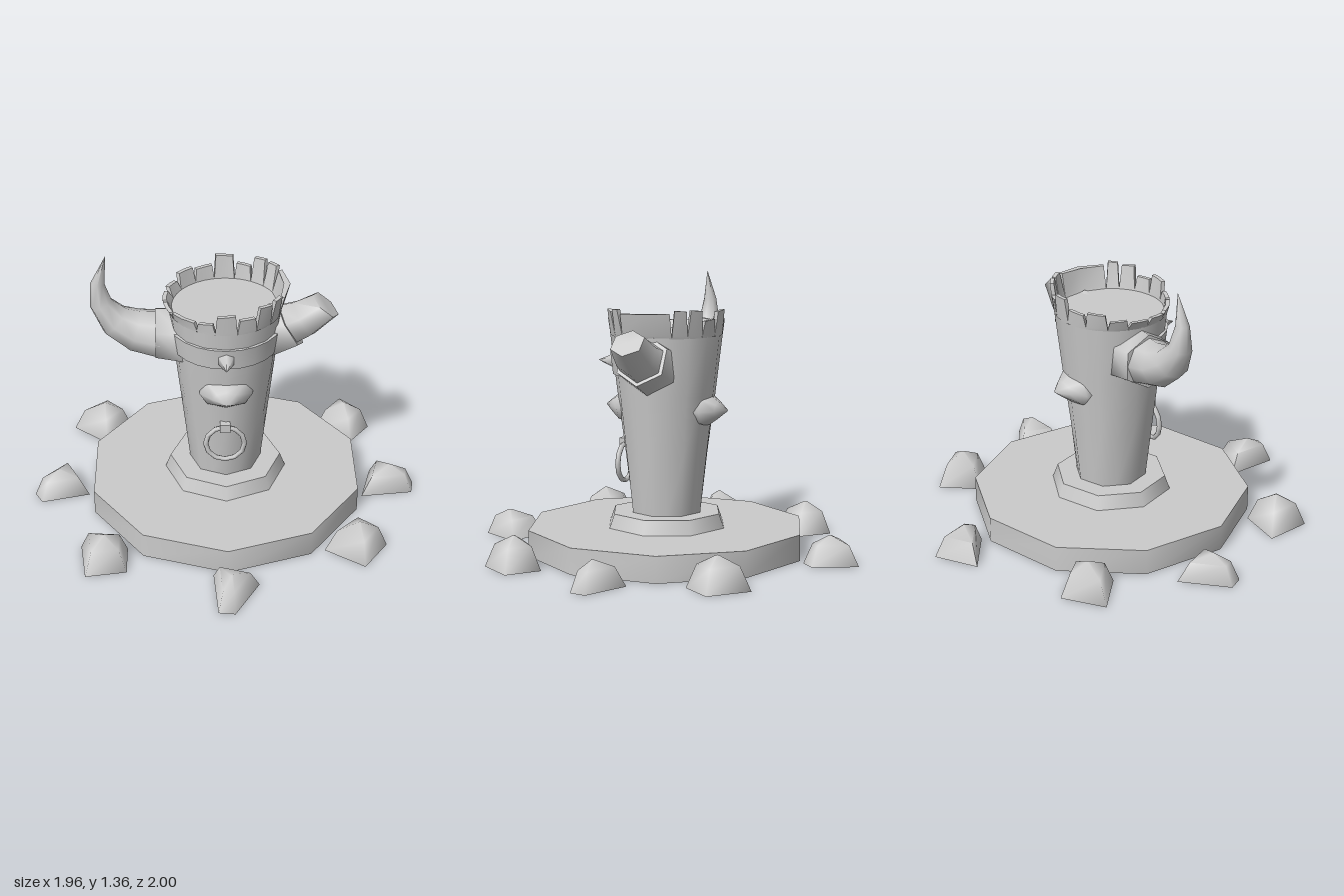
import * as THREE from 'three';
import { toCreasedNormals } from 'three/addons/utils/BufferGeometryUtils.js';

const V = (x, y, z) => new THREE.Vector3(x, y, z);
const rad = THREE.MathUtils.degToRad;
const solid = new THREE.MeshStandardMaterial({ color: 0xcccccc });
const shell = new THREE.MeshStandardMaterial({ color: 0xcccccc, side: THREE.DoubleSide });

// Skin a stack of equal-length rings; the first end may stay open
function loft(rings, crease = 1.1, openStart = false) {
  const n = rings[0].length, pos = [];
  const tri = (...p) => p.forEach((v) => pos.push(v.x, v.y, v.z));
  const first = rings[0], last = rings[rings.length - 1];
  const mid = (r) => r.reduce((s, p) => s.add(p), V(0, 0, 0)).divideScalar(n);
  const c0 = mid(first), c1 = mid(last);
  for (let j = 0; j < n; j++) {
    const k = (j + 1) % n;
    for (let i = 0; i + 1 < rings.length; i++) {
      const a = rings[i], b = rings[i + 1];
      tri(a[j], a[k], b[k]);
      tri(a[j], b[k], b[j]);
    }
    if (!openStart) tri(c0, first[k], first[j]);
    tri(c1, last[j], last[k]);
  }
  const g = new THREE.BufferGeometry();
  g.setAttribute('position', new THREE.Float32BufferAttribute(pos, 3));
  return toCreasedNormals(g, crease);
}

// Tapering tube in the xy plane; stations are [x, y, radius, heading in degrees]
function hornGeometry(stations, sides = 6) {
  return loft(stations.map(([x, y, r, deg]) => {
    const a = rad(deg);
    const nx = -Math.sin(a), ny = Math.cos(a);
    return Array.from({ length: sides }, (_, k) => {
      const f = (k / sides) * Math.PI * 2, c = r * Math.cos(f);
      return V(x + c * nx, y + c * ny, r * Math.sin(f));
    });
  }), 1.2);
}

const polar = (r, a, y) => V(r * Math.sin(a), y, r * Math.cos(a));
const wallRadius = (y) => 0.18 + 0.11 * (y - 0.2);

export function createModel() {
  const model = new THREE.Group();
  const add = (name, geometry, parent = model, material = solid) => {
    const mesh = new THREE.Mesh(geometry, material);
    mesh.name = name;
    parent.add(mesh);
    return mesh;
  };
  const group = (name) => {
    const g = new THREE.Group();
    g.name = name;
    model.add(g);
    return g;
  };

  // Ten-sided base, hollow underneath, and eight-sided plinth
  const baseRing = (y) => Array.from({ length: 10 }, (_, k) => polar(0.7, (k / 10) * Math.PI * 2, y));
  add('base', loft([baseRing(0), baseRing(0.13)], 0.9, true), model, shell);
  add('plinth', new THREE.CylinderGeometry(0.28, 0.308, 0.075, 8)).position.y = 0.1625;

  // Tower wall: octagonal at the foot, rounder toward the top
  const N = 16;
  add('tower', loft([0.19, 0.5, 0.8, 1.09].map((y) => Array.from({ length: N }, (_, k) => {
    const facet = k % 2 ? 1 - 0.076 * Math.max(0, (0.9 - y) / 0.7) : 1;
    return polar(wallRadius(y) * facet, (k / N) * Math.PI * 2, y);
  })), 0.9));

  // Uneven merlons with narrow V-shaped gaps: start angle, end angle, height
  const battlements = group('battlements');
  [
    [-11, 11, 1.19], [11, 31, 1.165], [31, 49, 1.21], [49, 63, 1.22], [63, 117, 1.205],
    [117, 133, 1.22], [133, 150, 1.22], [150, 169, 1.17], [169, 191, 1.21], [191, 213, 1.16],
    [213, 235, 1.17], [235, 255, 1.14], [255, 276, 1.13], [276, 298, 1.13], [298, 330, 1.135],
    [330, 349, 1.14],
  ].forEach(([from, to, top], i) => {
    const tilt = 0.004 * Math.cos(i * 1.7);
    const ring = (y, inset, slant, flare) => {
      const a0 = rad(from + inset), a1 = rad(to - inset);
      const at = (r, t) => {
        const a = a0 + (a1 - a0) * t;
        const out = flare * Math.abs(Math.sin(a)) ** 3;
        return polar(wallRadius(y) + r + out, a, y + slant * (t * 2 - 1));
      };
      return [at(0, 0), at(0, 0.5), at(0, 1), at(-0.02, 1), at(-0.02, 0.5), at(-0.02, 0)];
    };
    add('merlon', loft([ring(1.085, 0, 0, 0), ring(1.1, 0.2, 0, 0.006), ring(top, 2.2, tilt, 0.022)], 0.6), battlements);
  });

  // Head band across the front half, with a pointed stud
  const band = [[0.23, 0.89], [0.266, 0.89], [0.279, 1.0], [0.23, 1.0], [0.23, 0.89]]
    .map(([r, y]) => new THREE.Vector2(r, y));
  add('headBand', toCreasedNormals(new THREE.LatheGeometry(band, 12, -Math.PI / 2, Math.PI), 0.6));
  const stud = add('bandStud', new THREE.ConeGeometry(0.042, 0.1, 6));
  stud.rotation.x = Math.PI / 2;
  stud.position.set(0, 0.94, 0.32);

  // Curved horn on one side, broken stub on the other, each in a collar
  add('hornCollar', hornGeometry([[-0.2, 0.92, 0.15, 180], [-0.34, 0.935, 0.138, 180]]));
  add('horn', hornGeometry([
    [-0.32, 0.932, 0.122, 176], [-0.44, 0.955, 0.107, 162], [-0.535, 1.01, 0.085, 137],
    [-0.6, 1.105, 0.056, 108], [-0.612, 1.215, 0.034, 85], [-0.57, 1.36, 0.001, 65],
  ], 8));
  add('brokenHornCollar', hornGeometry([[0.2, 0.945, 0.146, 20], [0.315, 0.985, 0.134, 30]]));
  add('brokenHorn', hornGeometry([[0.27, 0.965, 0.122, 25], [0.38, 1.01, 0.104, 33], [0.485, 1.085, 0.085, 50]]));

  // Faceted bosses on the front and back
  const boss = loft([[1, 0.17], [1, 0.218], [0.5, 0.275], [0.06, 0.32]].map(([s, z]) =>
    Array.from({ length: 8 }, (_, k) => {
      const f = (k / 8) * Math.PI * 2;
      return V(0.13 * s * Math.cos(f), 0.72 + 0.083 * s * Math.sin(f), z);
    })), 1.6);
  add('frontBoss', boss);
  add('backBoss', boss).rotation.y = Math.PI;

  // Hanging ring and its bracket
  add('doorRing', new THREE.TorusGeometry(0.096, 0.013, 6, 12)).position.set(-0.005, 0.43, 0.226);
  add('ringBracket', new THREE.BoxGeometry(0.05, 0.045, 0.055)).position.set(-0.005, 0.53, 0.22);

  // Hollow boulders around the base: x, z of four ground corners, then height
  const rocks = group('rocks');
  [
    [-0.18, -0.87, 0.01, -1, 0.1, -0.79, 0.04, -0.73, 0.14],
    [-0.81, -0.53, -0.63, -0.67, -0.5, -0.54, -0.63, -0.38, 0.16],
    [0.5, -0.5, 0.63, -0.67, 0.79, -0.51, 0.68, -0.37, 0.16],
    [-0.98, 0.06, -0.8, -0.13, -0.7, 0.07, -0.94, 0.13, 0.135],
    [0.7, 0.11, 0.76, -0.11, 0.975, 0, 0.96, 0.08, 0.135],
    [-0.72, 0.49, -0.49, 0.51, -0.49, 0.69, -0.69, 0.72, 0.16],
    [0.65, 0.38, 0.79, 0.5, 0.67, 0.67, 0.48, 0.54, 0.16],
    [-0.07, 0.72, 0.15, 0.79, 0.03, 1, -0.05, 0.99, 0.135],
  ].forEach((d) => {
    const h = d[8];
    const foot = [6, 4, 2, 0].map((i) => V(d[i], 0, d[i + 1]));
    const c = foot.reduce((s, p) => s.add(p), V(0, 0, 0)).divideScalar(4);
    const ring = (s, y) => foot.map((p) => p.clone().lerp(c, 1 - s).setY(y));
    add('rock', loft([ring(1, 0), ring(0.66, h * 0.72), ring(0.05, h)], 1.7, true), rocks, shell);
  });

  return model;
}
